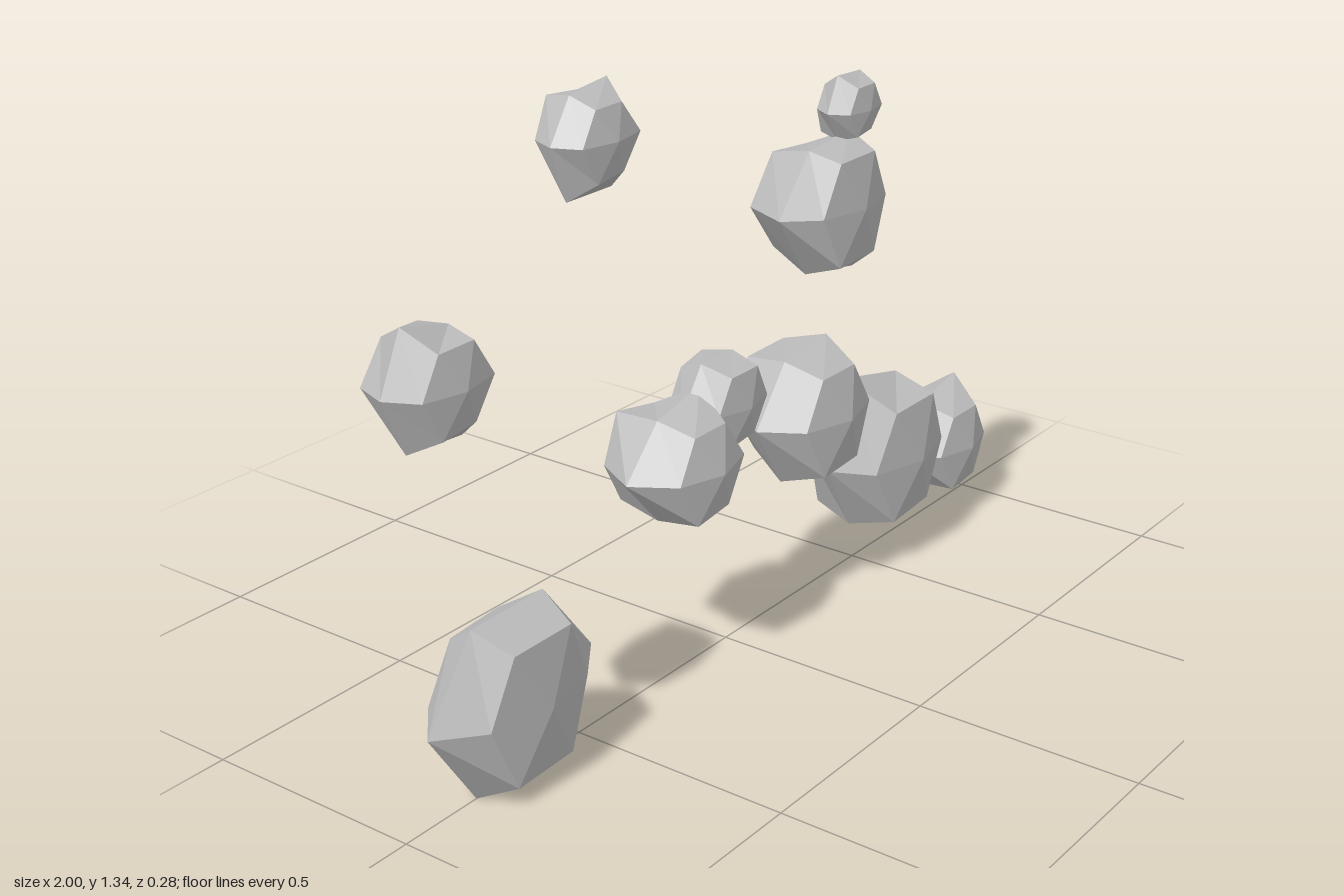
import * as THREE from 'three';

// small seeded noise in -1..1
function seeded(seed) {
  let s = seed;
  return () => {
    s = (s * 16807) % 2147483647;
    return (s / 2147483647) * 2 - 1;
  };
}

// centre, six rim radii (every 60 degrees from +x), front and back depth
const ROCKS = [
  { at: [-0.70, 0.185], rim: [0.245, 0.208, 0.205, 0.23, 0.213, 0.167], front: 0.11, back: 0.125 },
  { at: [0.373, 0.905], rim: [0.205, 0.165, 0.15, 0.183, 0.167, 0.202], front: 0.10, back: 0.14 },
  { at: [0.29, 0.45], rim: [0.2, 0.17, 0.15, 0.178, 0.173, 0.202], front: 0.13, back: 0.13 },
  { at: [0.578, 0.255], rim: [0.182, 0.185, 0.237, 0.185, 0.19, 0.242], front: 0.14, back: 0.12 },
  { at: [0.857, 0.18], rim: [0.143, 0.167, 0.133, 0.14, 0.115, 0.162], front: 0.11, back: 0.115 },
  { at: [-0.17, 0.485], rim: [0.17, 0.16, 0.125, 0.165, 0.13, 0.165], front: 0.125, back: 0.135 },
  { at: [-0.03, 0.575], rim: [0.138, 0.108, 0.11, 0.12, 0.11, 0.12], front: 0.09, back: 0.09 },
  { at: [-0.875, 0.89], rim: [0.108, 0.105, 0.139, 0.125, 0.139, 0.15], front: 0.09, back: 0.09 },
  { at: [-0.43, 1.235], rim: [0.097, 0.117, 0.1, 0.107, 0.132, 0.132], front: 0.075, back: 0.073 },
  { at: [0.447, 1.1], rim: [0.083, 0.085, 0.09, 0.082, 0.078, 0.08], front: 0.058, back: 0.06 },
];

// six-sided faceted boulder: front pole, front ring, rim, back ring, back pole
function rockGeometry({ rim, front, back }, seed) {
  const rand = seeded(seed);
  const mean = rim.reduce((a, b) => a + b) / 6;
  const points = [0, 0, front];
  for (const level of [1, 0, -1]) {
    for (let i = 0; i < 6; i++) {
      const a = (i * Math.PI) / 3;
      const bump = 1 + 0.1 * rand();
      const r = level === 0 ? rim[i] : 0.71 * mean * bump;
      const z = level === 0 ? 0 : 0.75 * bump * (level > 0 ? front : -back);
      points.push(r * Math.cos(a), r * Math.sin(a), z);
    }
  }
  points.push(0, 0, -back);

  const faces = [];
  for (let i = 0; i < 6; i++) {
    const j = (i + 1) % 6;
    faces.push(0, 1 + i, 1 + j);
    for (const ring of [1, 7]) {
      const a = ring + i, b = ring + j;
      faces.push(a, a + 6, b, b, a + 6, b + 6);
    }
    faces.push(19, 13 + j, 13 + i);
  }

  const indexed = new THREE.BufferGeometry();
  indexed.setAttribute('position', new THREE.Float32BufferAttribute(points, 3));
  indexed.setIndex(faces);
  const geometry = indexed.toNonIndexed();
  geometry.computeVertexNormals();
  return geometry;
}

export function createModel() {
  const model = new THREE.Group();
  model.name = 'asteroidField';
  const stone = new THREE.MeshStandardMaterial({ color: 0xbbbbbb, flatShading: true });
  stone.name = 'light grey stone';

  ROCKS.forEach((rock, i) => {
    const mesh = new THREE.Mesh(rockGeometry(rock, 7919 * (i + 3)), stone);
    mesh.name = `asteroid${i + 1}`;
    mesh.position.set(rock.at[0], rock.at[1], 0);
    model.add(mesh);
  });
  return model;
}
